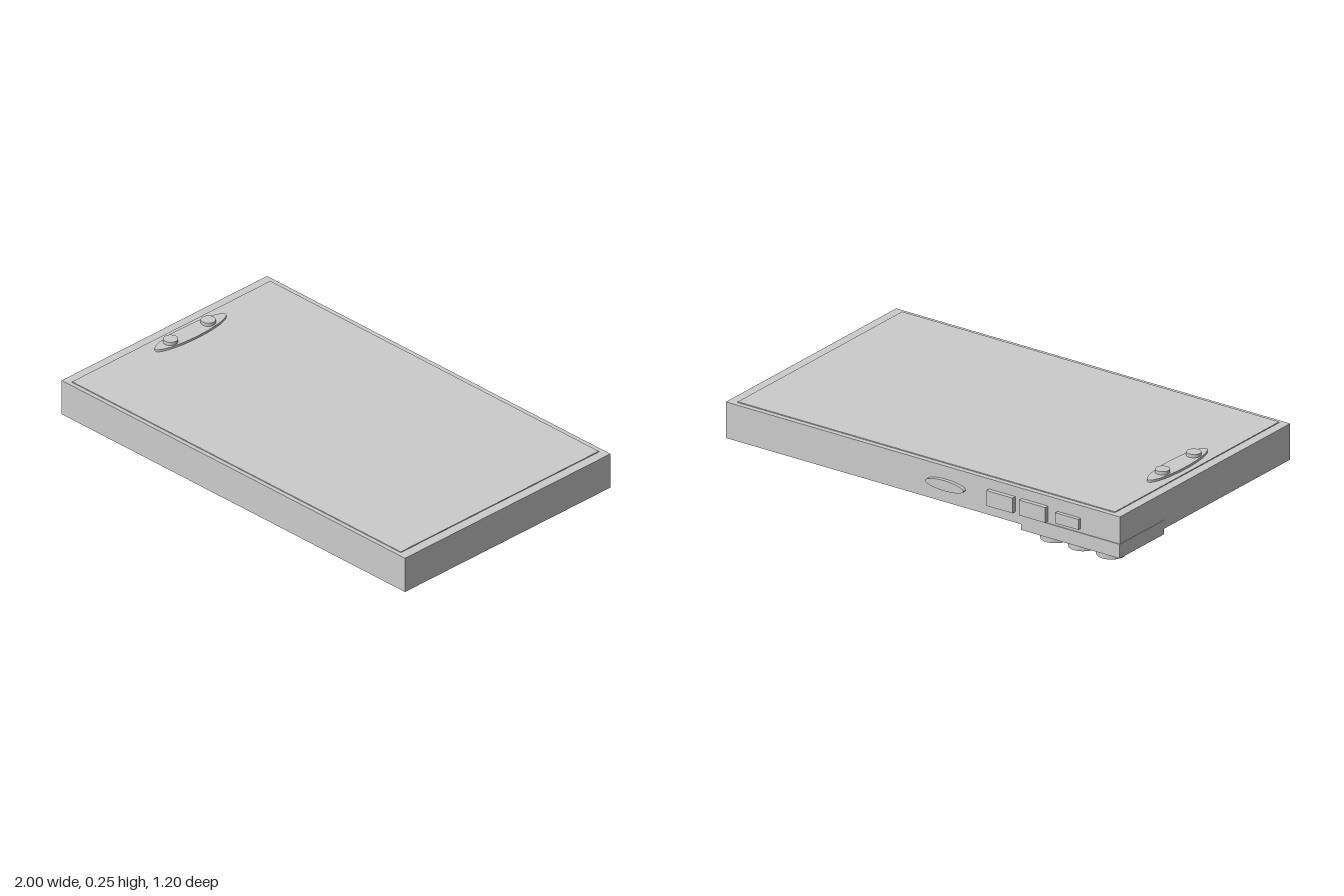
import * as THREE from 'three';

export function createModel() {
  const group = new THREE.Group();
  const material = new THREE.MeshStandardMaterial({ color: 0xcccccc });

  const add = (name, geometry, x, y, z) => {
    const mesh = new THREE.Mesh(geometry, material);
    mesh.name = name;
    mesh.position.set(x, y, z);
    group.add(mesh);
    return mesh;
  };
  // Box given by its minimum and maximum corners
  const box = (name, [x0, y0, z0], [x1, y1, z1]) =>
    add(name, new THREE.BoxGeometry(x1 - x0, y1 - y0, z1 - z0),
      (x0 + x1) / 2, (y0 + y1) / 2, (z0 + z1) / 2);
  // Upright round or oval disc between two heights
  const disc = (name, x, z, y0, y1, rx, rz = rx) =>
    add(name, new THREE.CylinderGeometry(1, 1, y1 - y0, 48).scale(rx, 1, rz),
      x, (y0 + y1) / 2, z);

  // Slab body with a thin raised screen on top
  box('body', [-0.998, 0.06, -0.583], [1, 0.221, 0.601]);
  box('screen', [-0.956, 0.21, -0.56], [0.956, 0.225, 0.582]);

  // Oval front sensor island with two small lenses
  disc('sensorIsland', -0.887, -0.032, 0.215, 0.235, 0.045, 0.202);
  for (const z of [0.083, -0.134]) disc('sensorLens', -0.887, z, 0.23, 0.25, 0.031);

  // Rear camera plate, wrapping slightly over the corner, and its lenses
  box('cameraPlate', [-1, 0.037, -0.587], [-0.5, 0.1, -0.277]);
  for (const x of [-0.892, -0.748, -0.608]) disc('cameraLens', x, -0.498, 0, 0.04, 0.061);
  disc('flash', -0.893, -0.233, 0.018, 0.047, 0.03);

  // Side buttons on the long back edge
  box('smallButton', [-0.8, 0.118, -0.6], [-0.683, 0.165, -0.57]);
  for (const x of [-0.634, -0.468])
    box('volumeButton', [x, 0.108, -0.603], [x + 0.132, 0.176, -0.57]);
  const oval = new THREE.CylinderGeometry(1, 1, 0.03, 48).rotateX(Math.PI / 2).scale(0.097, 0.023, 1);
  add('ovalButton', oval, -0.12, 0.14, -0.585);

  return group;
}
